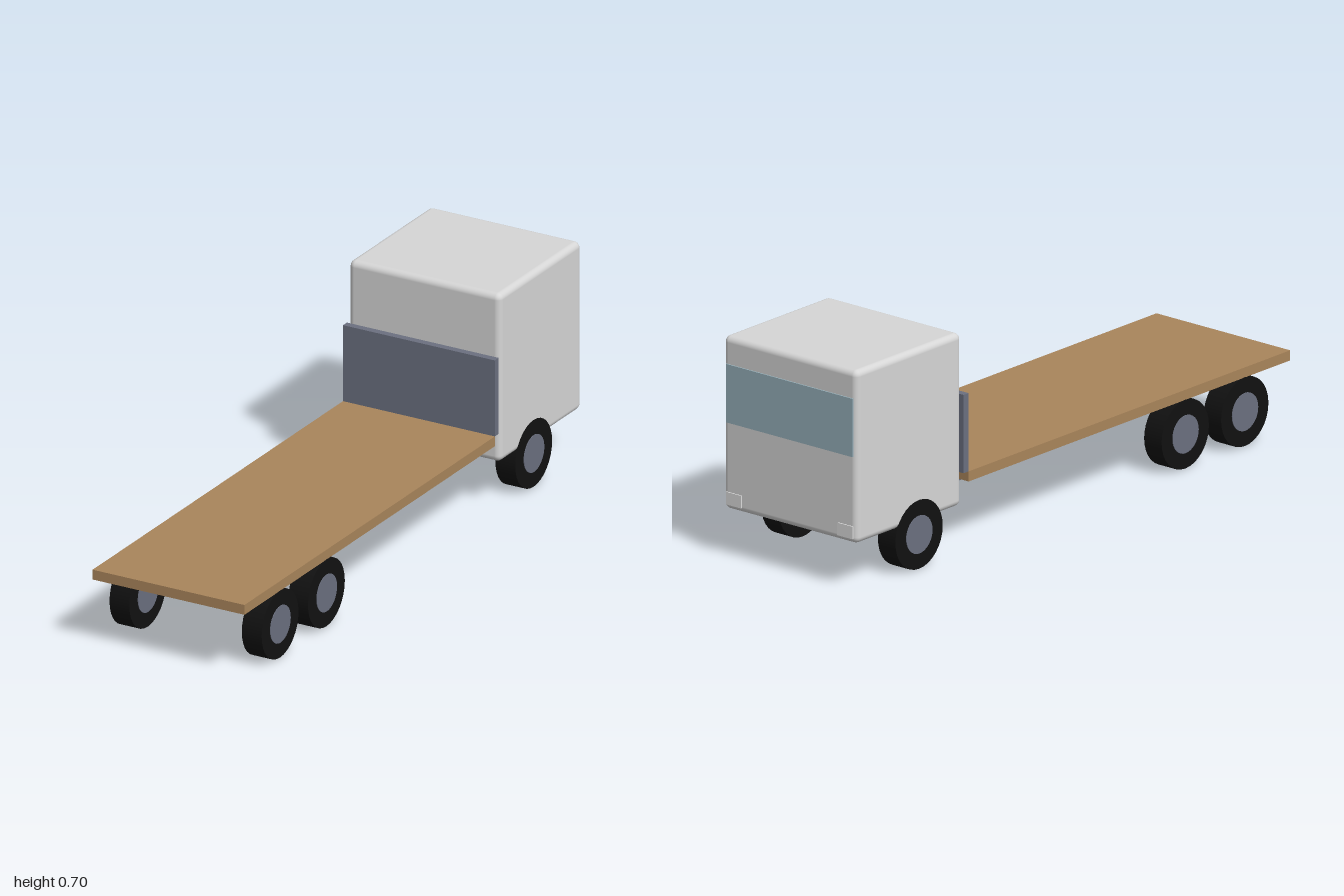
import * as THREE from 'three';
import { RoundedBoxGeometry } from 'three/addons/geometries/RoundedBoxGeometry.js';

const material = (name, color) => {
  const m = new THREE.MeshStandardMaterial({ color });
  m.name = name;
  return m;
};

export function createModel() {
  const cabPaint = material('cab paint', 0xd6d6d6);
  const steel = material('steel grey', 0x6b7080);
  const wood = material('deck wood', 0xa9855b);
  const rubber = material('tyre rubber', 0x111111);
  const glass = material('window glass', 0x98b2bc);
  const lampWhite = material('lamp white', 0xdedede);

  const truck = new THREE.Group();
  truck.name = 'flatbedTruck';

  const add = (name, geometry, mat, x, y, z, parent = truck) => {
    const mesh = new THREE.Mesh(geometry, mat);
    mesh.name = name;
    mesh.position.set(x, y, z);
    parent.add(mesh);
    return mesh;
  };
  // Box given by its extents on each axis
  const box = (name, mat, [x0, x1], [y0, y1], [z0, z1]) =>
    add(name, new THREE.BoxGeometry(x1 - x0, y1 - y0, z1 - z0), mat,
      (x0 + x1) / 2, (y0 + y1) / 2, (z0 + z1) / 2);

  // Cab with softly rounded edges, driving towards -z
  add('cab', new RoundedBoxGeometry(0.528, 0.548, 0.484, 4, 0.02), cabPaint, 0, 0.423, -0.754);
  box('windscreen', glass, [-0.25, 0.25], [0.425, 0.61], [-1, -0.994]);
  for (const side of [-1, 1]) {
    const lamp = box('headlamp', lampWhite, [0.19, 0.25], [0.165, 0.205], [-1, -0.994]);
    lamp.position.x *= side;
  }

  // Chassis beam, load deck and headboard
  box('chassis', steel, [-0.106, 0.106], [0.149, 0.21], [-0.52, 0.705]);
  box('deck', wood, [-0.264, 0.264], [0.217, 0.249], [-0.481, 1]);
  box('headboard', steel, [-0.264, 0.264], [0.249, 0.497], [-0.504, -0.481]);

  // One front axle and two rear axles
  const tyreShape = new THREE.CylinderGeometry(0.109, 0.109, 0.069, 32).rotateZ(Math.PI / 2);
  const hubShape = new THREE.CylinderGeometry(0.06, 0.06, 0.073, 32).rotateZ(Math.PI / 2);
  for (const z of [-0.71, 0.516, 0.79]) {
    for (const side of [-1, 1]) {
      const wheel = new THREE.Group();
      wheel.name = 'wheel';
      wheel.position.set(side * 0.23, 0.109, z);
      add('tyre', tyreShape, rubber, 0, 0, 0, wheel);
      add('hub', hubShape, steel, 0, 0, 0, wheel);
      truck.add(wheel);
    }
  }
  return truck;
}
